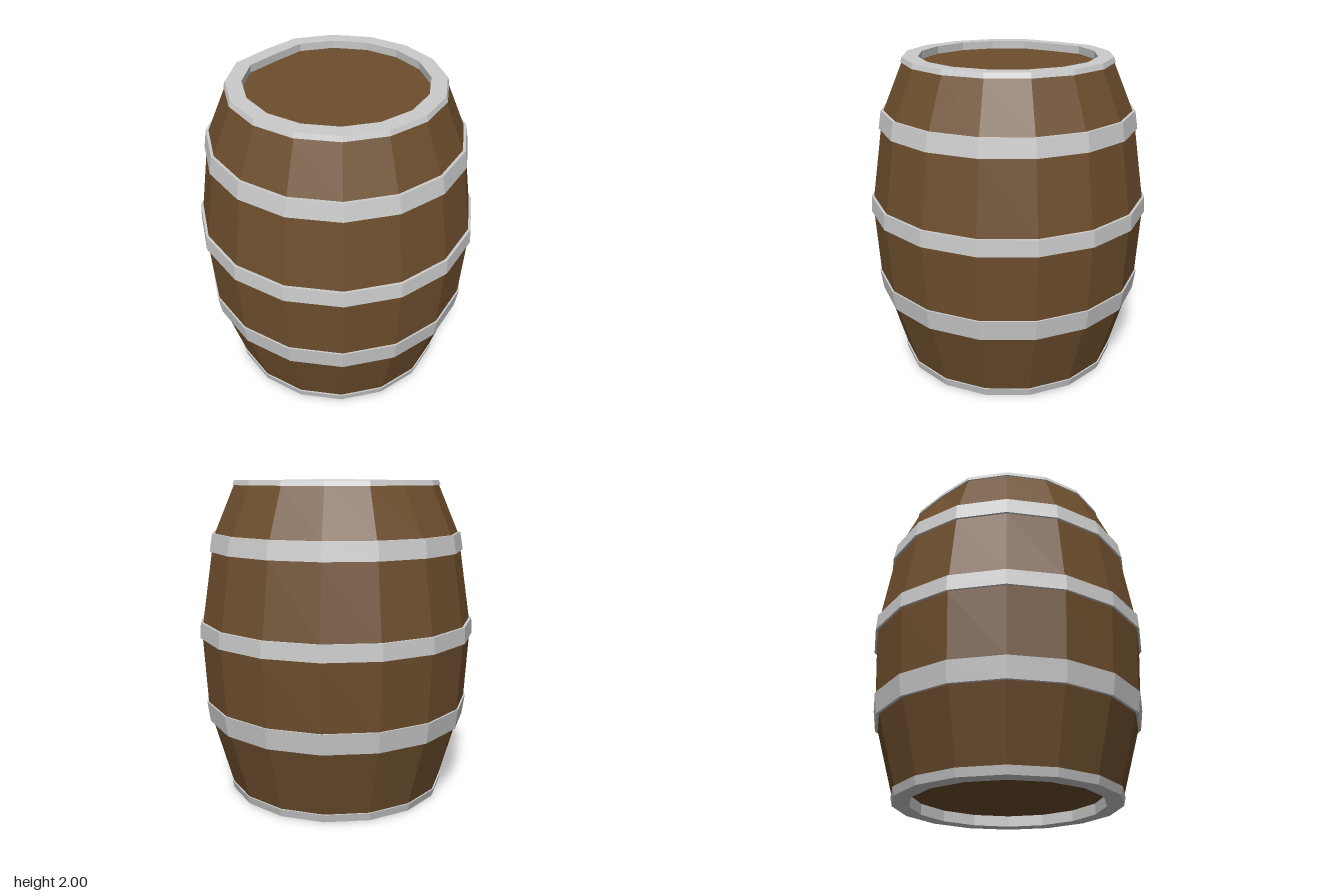
import * as THREE from 'three';

const SIDES = 16;
const wood = new THREE.MeshStandardMaterial({ color: 0x6d4e2d, flatShading: true });
const metal = new THREE.MeshStandardMaterial({ color: 0xcccccc, flatShading: true });

// Turn a profile of [radius, height] pairs; the rear corner of the top end is pushed in a little
function turned(name, profile, material) {
  const geometry = new THREE.LatheGeometry(profile.map(([r, y]) => new THREE.Vector2(r, y)), SIDES);
  const p = geometry.attributes.position;
  for (let i = 0; i < p.count; i++) {
    if (p.getY(i) > 1.9 && Math.abs(p.getX(i)) < 0.01 && p.getZ(i) < -0.3) {
      p.setZ(i, p.getZ(i) + 0.037);
    }
  }
  geometry.computeVertexNormals();
  const mesh = new THREE.Mesh(geometry, material);
  mesh.name = name;
  return mesh;
}

// Closed ring with sloping outer wall and the given inner radii
function hoop(name, y0, y1, outer0, outer1, inner0, inner1) {
  return turned(name, [
    [inner0, y0], [outer0, y0], [outer1, y1], [inner1, y1], [inner0, y0],
  ], metal);
}

export function createModel() {
  const barrel = new THREE.Group();
  barrel.name = 'barrel';

  // Bulging staves
  barrel.add(turned('staves', [
    [0.695, 0.03], [0.705, 0.05], [0.825, 0.48], [0.85, 0.61], [0.873, 1.03],
    [0.866, 1.13], [0.797, 1.57], [0.775, 1.68], [0.65, 1.97], [0.642, 1.98],
  ], wood));

  // Recessed ends
  barrel.add(turned('topLid', [[0.555, 1.95], [0, 1.95]], wood));
  barrel.add(turned('bottomLid', [[0, 0.07], [0.6, 0.07]], wood));

  // End rims, reaching in to the lids
  barrel.add(turned('topRim', [
    [0.64, 1.97], [0.659, 1.97], [0.648, 2], [0.552, 2], [0.555, 1.95],
  ], metal));
  barrel.add(turned('bottomRim', [
    [0.6, 0.07], [0.6, 0], [0.703, 0], [0.715, 0.05], [0.7, 0.05],
  ], metal));

  // Hoops around the body
  barrel.add(hoop('lowerHoop', 0.48, 0.61, 0.843, 0.861, 0.815, 0.84));
  barrel.add(hoop('middleHoop', 1.03, 1.13, 0.888, 0.882, 0.865, 0.858));
  barrel.add(hoop('upperHoop', 1.57, 1.68, 0.811, 0.792, 0.787, 0.765));

  return barrel;
}
